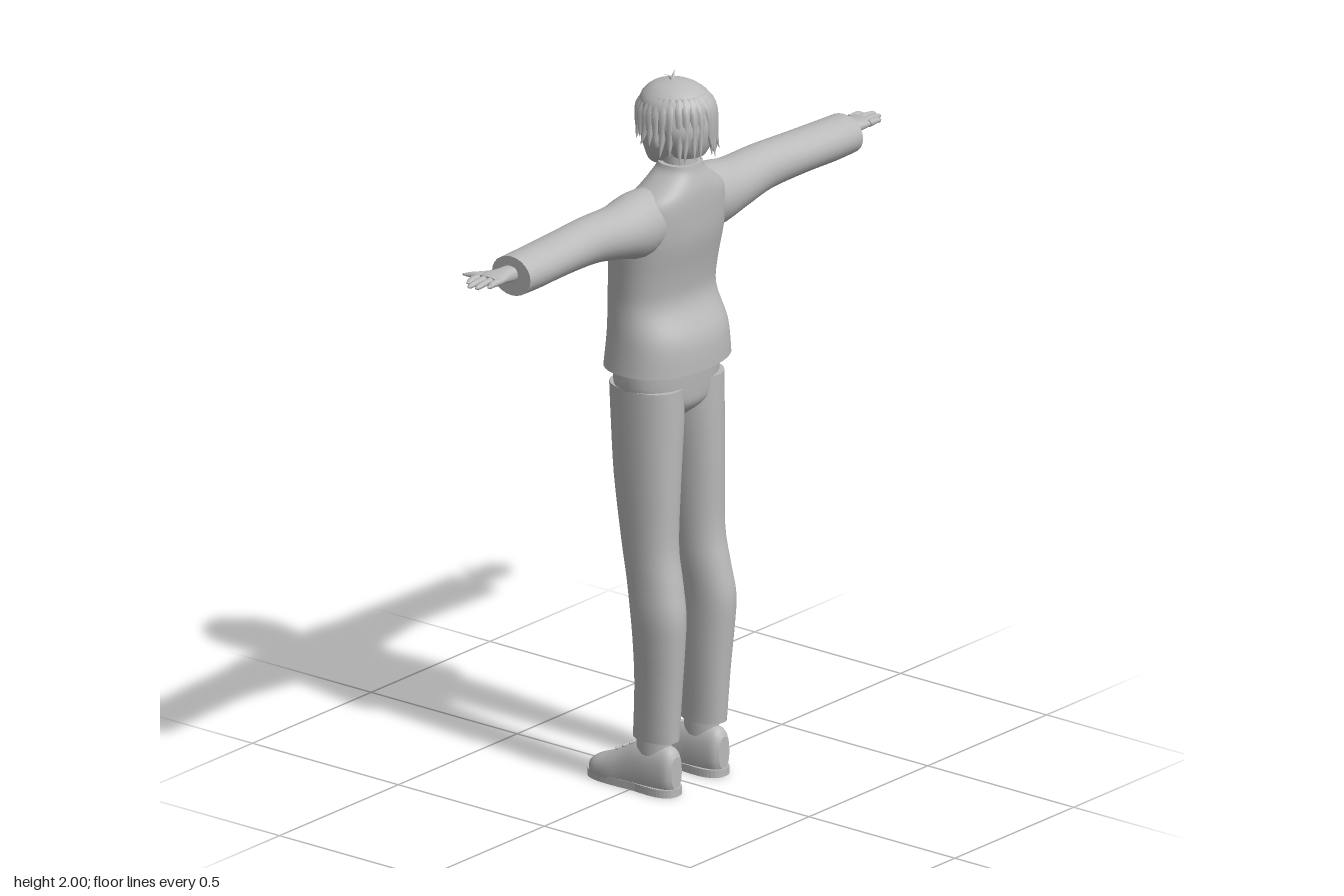
import * as THREE from 'three';

const grey = new THREE.MeshStandardMaterial({ color: 0xbababa });
grey.name = 'plain grey';

// Skin of cross-sections [t, c1, c2, r1, r2], smoothed along one axis.
// axis y (t rising): c = x, z   axis x (t rising): c = z, y   axis z (t falling): c = x, y
function loft(axis, rows, { n = 2, sides = 24, steps = 4, floor = -1 } = {}) {
  const place = {
    y: (t, a, b) => [a, t, b],
    x: (t, a, b) => [t, b, a],
    z: (t, a, b) => [a, b, t],
  }[axis];
  const cr = (p0, p1, p2, p3, u) =>
    p1 + 0.5 * u * (p2 - p0 + u * (2 * p0 - 5 * p1 + 4 * p2 - p3 + u * (3 * (p1 - p2) + p3 - p0)));
  const fine = [];
  const last = rows.length - 1;
  for (let i = 0; i < last; i++) {
    const q = [Math.max(i - 1, 0), i, i + 1, Math.min(i + 2, last)].map((k) => rows[k]);
    for (let s = 0; s < steps; s++) {
      fine.push(rows[i].map((_, k) => cr(q[0][k], q[1][k], q[2][k], q[3][k], s / steps)));
    }
  }
  fine.push(rows[last]);
  // flat end caps with their own vertices
  const cap = (r) => [r[0], r[1], r[2], 0, 0];
  const all = [cap(fine[0]), fine[0], ...fine, rows[last], cap(rows[last])];

  const pos = [], index = [];
  const pow = (v) => Math.sign(v) * Math.abs(v) ** (2 / n);
  all.forEach(([t, c1, c2, r1, r2], i) => {
    for (let j = 0; j < sides; j++) {
      const a = (j / sides) * Math.PI * 2;
      const p = place(t, c1 + Math.max(r1, 0) * pow(Math.cos(a)), c2 + Math.max(r2, 0) * pow(Math.sin(a)));
      pos.push(p[0], Math.max(p[1], floor), p[2]);
      if (i === all.length - 1) continue;
      const k = (j + 1) % sides, b = i * sides, u = b + sides;
      index.push(b + j, u + j, b + k, b + k, u + j, u + k);
    }
  });
  const g = new THREE.BufferGeometry();
  g.setAttribute('position', new THREE.Float32BufferAttribute(pos, 3));
  g.setIndex(index);
  g.computeVertexNormals();
  return g;
}

// Copy reflected across x = 0 with its corner order restored
function mirrored(g) {
  const m = g.index ? g.clone() : g.clone().setIndex([...Array(g.attributes.position.count).keys()]);
  m.scale(-1, 1, 1);
  const ix = m.index.array;
  for (let i = 0; i < ix.length; i += 3) [ix[i], ix[i + 1]] = [ix[i + 1], ix[i]];
  m.computeVertexNormals();
  return m;
}

export function createModel() {
  const model = new THREE.Group();
  model.name = 'standingFigure';
  const add = (name, g) => {
    const mesh = new THREE.Mesh(g, grey);
    mesh.name = name;
    model.add(mesh);
  };
  const pair = (name, g) => {
    add('left' + name, g);
    add('right' + name, mirrored(g));
  };

  // Jumper body, the chest facing -z
  add('jumperBody', loft('y', [
    [1.19, 0, 0.015, 0.192, 0.14], [1.28, 0, 0.015, 0.182, 0.133], [1.37, 0, -0.004, 0.173, 0.11],
    [1.45, 0, 0, 0.176, 0.11], [1.55, 0, 0.012, 0.182, 0.118], [1.62, 0, 0.03, 0.175, 0.105],
    [1.67, 0, 0.045, 0.155, 0.09], [1.705, 0, 0.053, 0.11, 0.078], [1.74, 0, 0.057, 0.068, 0.063],
    [1.76, 0, 0.06, 0.058, 0.056],
  ], { n: 2.3, sides: 40 }));

  // Sleeves
  pair('Sleeve', loft('x', [
    [0.08, 0.035, 1.62, 0.075, 0.085], [0.16, 0.03, 1.612, 0.083, 0.09], [0.24, 0.035, 1.617, 0.077, 0.074],
    [0.36, 0.038, 1.63, 0.067, 0.064], [0.5, 0.046, 1.633, 0.067, 0.058], [0.62, 0.05, 1.631, 0.067, 0.057],
    [0.7, 0.05, 1.63, 0.066, 0.055],
  ]));

  // Hands: palm with wrist, four fingers and a thumb pointing forward
  pair('Palm', loft('x', [
    [0.66, 0.047, 1.636, 0.028, 0.023], [0.72, 0.045, 1.637, 0.027, 0.02],
    [0.755, 0.042, 1.64, 0.037, 0.015], [0.79, 0.041, 1.641, 0.04, 0.011],
  ], { n: 2.4 }));
  [[0.008, 0.835], [0.03, 0.857], [0.052, 0.852], [0.073, 0.827]].forEach(([z, tip], i) =>
    pair('Finger' + (i + 1), loft('x', [
      [0.775, z, 1.641, 0.011, 0.01], [0.81, z, 1.642, 0.01, 0.009],
      [tip - 0.01, z, 1.639, 0.008, 0.007], [tip, z, 1.638, 0.002, 0.002],
    ], { sides: 10, steps: 2 })));
  pair('Thumb', loft('x', [
    [0.715, 0.03, 1.634, 0.018, 0.014], [0.745, -0.006, 1.632, 0.016, 0.011],
    [0.765, -0.034, 1.632, 0.011, 0.008], [0.776, -0.052, 1.632, 0.003, 0.003],
  ], { sides: 10, steps: 2 }));

  // Trousers
  add('trouserSeat', loft('y', [
    [1.045, 0, 0.02, 0.03, 0.055], [1.08, 0, 0.017, 0.12, 0.095],
    [1.13, 0, 0.012, 0.163, 0.109], [1.22, 0, 0.012, 0.166, 0.114],
  ], { n: 2.3, sides: 32 }));
  pair('TrouserLeg', loft('y', [
    [0.15, 0.1, 0.058, 0.046, 0.068], [0.3, 0.101, 0.067, 0.052, 0.069], [0.42, 0.104, 0.071, 0.057, 0.075],
    [0.51, 0.105, 0.069, 0.06, 0.081], [0.6, 0.1, 0.053, 0.061, 0.081], [0.7, 0.097, 0.035, 0.063, 0.082],
    [0.88, 0.092, 0.022, 0.071, 0.097], [1.04, 0.085, 0.016, 0.079, 0.105], [1.14, 0.084, 0.013, 0.08, 0.108],
  ], { n: 2.2 }));

  // Ankles, shoes, soles and laces
  pair('Ankle', loft('y', [
    [0.08, 0.1, 0.05, 0.036, 0.052], [0.135, 0.1, 0.05, 0.036, 0.052], [0.18, 0.1, 0.055, 0.034, 0.05],
  ]));
  pair('Shoe', loft('z', [
    [0.128, 0.1, 0.065, 0.022, 0.045], [0.11, 0.1, 0.065, 0.036, 0.068], [0.06, 0.1, 0.06, 0.042, 0.078],
    [0.01, 0.1, 0.055, 0.043, 0.076], [-0.04, 0.098, 0.04, 0.046, 0.066], [-0.09, 0.097, 0.03, 0.049, 0.05],
    [-0.135, 0.096, 0.025, 0.043, 0.037], [-0.158, 0.096, 0.024, 0.022, 0.022],
  ], { n: 2.3, floor: 0.012 }));
  const outline = new THREE.Shape();
  outline.moveTo(0.1, -0.133);
  outline.bezierCurveTo(0.155, -0.133, 0.145, -0.06, 0.142, -0.02);
  outline.bezierCurveTo(0.14, 0.04, 0.165, 0.168, 0.096, 0.168);
  outline.bezierCurveTo(0.03, 0.168, 0.06, 0.04, 0.057, -0.02);
  outline.bezierCurveTo(0.055, -0.06, 0.045, -0.133, 0.1, -0.133);
  const sole = new THREE.ExtrudeGeometry(outline, { depth: 0.022, bevelEnabled: false, curveSegments: 12 });
  sole.rotateX(-Math.PI / 2);
  pair('Sole', sole);
  for (let i = 0; i < 3; i++) {
    const lace = new THREE.CapsuleGeometry(0.004, 0.036, 3, 8);
    lace.rotateZ(Math.PI / 2).translate(0.098, 0.121 - i * 0.013, -0.018 - i * 0.023);
    pair('Lace' + (i + 1), lace);
  }

  // Neck, head and facial features
  add('neck', loft('y', [
    [1.7, 0, 0.06, 0.052, 0.052], [1.76, 0, 0.058, 0.046, 0.048], [1.83, 0, 0.05, 0.047, 0.05],
  ]));
  add('head', loft('y', [
    [1.738, 0, -0.012, 0.012, 0.018], [1.75, 0, -0.002, 0.032, 0.04], [1.78, 0, 0.014, 0.055, 0.062],
    [1.82, 0, 0.025, 0.073, 0.08], [1.87, 0, 0.035, 0.082, 0.094], [1.92, 0, 0.04, 0.082, 0.094],
    [1.96, 0, 0.042, 0.05, 0.06],
  ], { n: 2.1, sides: 32 }));
  add('nose', loft('y', [
    [1.803, 0, -0.05, 0.005, 0.006], [1.81, 0, -0.056, 0.01, 0.014], [1.83, 0, -0.056, 0.006, 0.009],
    [1.86, 0, -0.053, 0.003, 0.004],
  ], { sides: 10 }));
  add('mouth', new THREE.SphereGeometry(1, 12, 8).scale(0.016, 0.004, 0.005).translate(0, 1.781, -0.045));
  pair('Eye', new THREE.SphereGeometry(1, 12, 8).scale(0.014, 0.008, 0.006).translate(0.031, 1.845, -0.046));
  pair('Ear', new THREE.SphereGeometry(1, 12, 10).scale(0.01, 0.027, 0.017).rotateY(0.3).translate(0.083, 1.835, 0.04));

  // Hair: a cap, then layered locks around it
  add('hairCap', loft('y', [
    [1.785, 0, 0.09, 0.05, 0.04], [1.82, 0, 0.09, 0.077, 0.057], [1.865, 0, 0.083, 0.094, 0.073],
    [1.905, 0, 0.052, 0.099, 0.1], [1.94, 0, 0.044, 0.09, 0.097], [1.968, 0, 0.04, 0.06, 0.067],
    [1.981, 0, 0.04, 0.026, 0.03], [1.984, 0, 0.04, 0, 0],
  ], { sides: 32 }));
  let seed = 7;
  const rnd = () => (seed = (seed * 16807) % 2147483647) / 2147483647;
  const count = 30;
  for (let i = 0; i < count; i++) {
    const a = (i / count) * 2 * Math.PI - Math.PI + (rnd() - 0.5) * 0.12;
    const away = Math.abs(a);
    const tipY = (away < 0.8 ? 1.85 : away < 1.7 ? 1.812 : 1.778) + rnd() * 0.028;
    const out = (away < 0.8 ? 1.03 : 1.05) + rnd() * 0.09;
    const at = (y, k, turn, w) => [
      y, Math.sin(a + turn) * 0.097 * k, 0.046 - Math.cos(a + turn) * 0.106 * k, w, w,
    ];
    const twist = (rnd() - 0.5) * 0.3;
    add('hairLock' + (i + 1), loft('y', [
      at(tipY, out, twist, 0.0005), at(tipY * 0.6 + 1.91 * 0.4, 1.0, twist * 0.4, 0.009),
      at(1.915, 0.93, 0, 0.014), at(1.955, 0.68, 0, 0.012),
    ], { sides: 6, steps: 3 }));
  }
  // small tuft at the crown
  pair('Tuft', loft('y', [
    [1.975, 0.002, 0.035, 0.007, 0.007], [1.99, 0.006, 0.03, 0.004, 0.004], [2.0, 0.022, 0.022, 0.0005, 0.0005],
  ], { sides: 6, steps: 3 }));

  return model;
}
